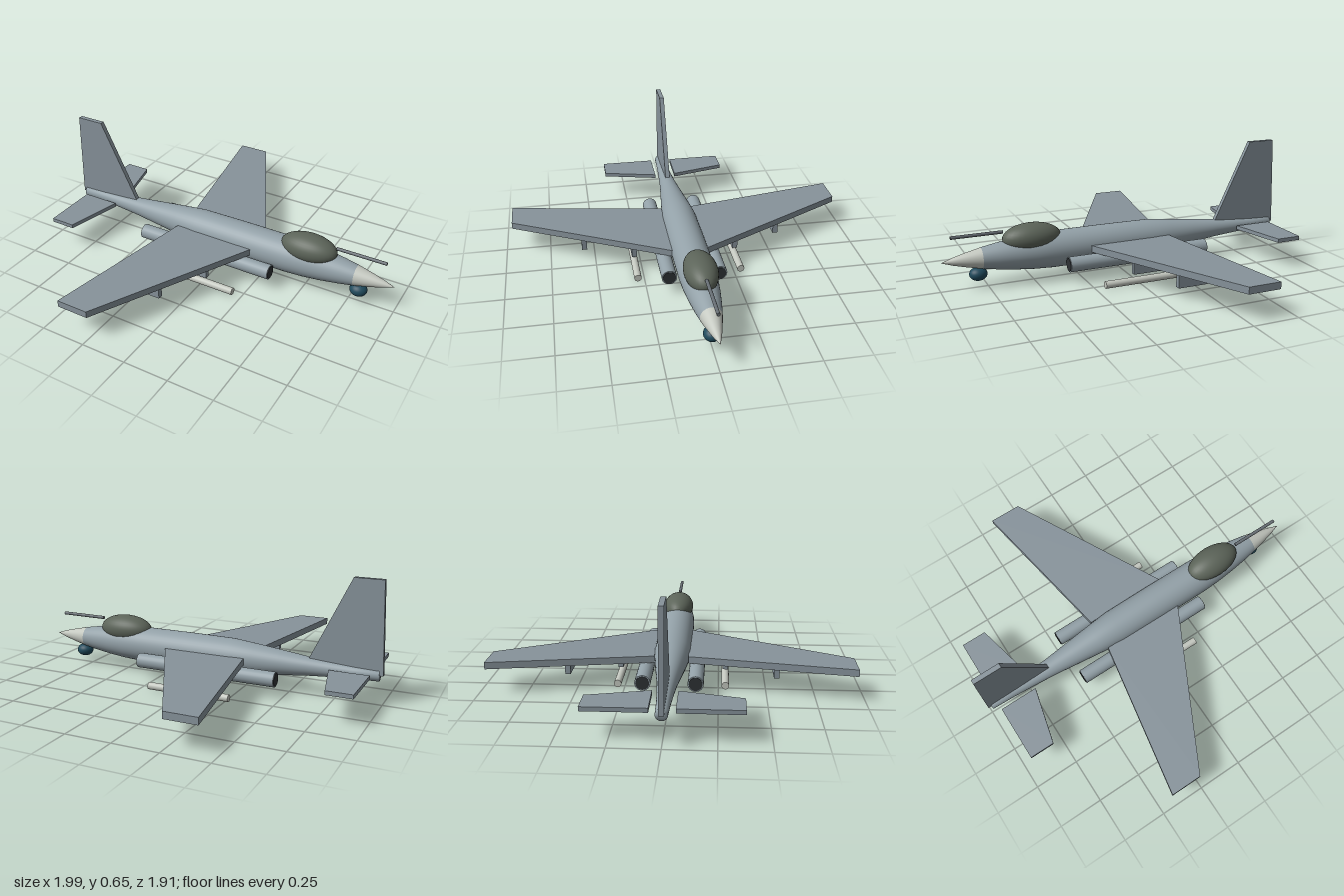
import * as THREE from 'three';

const paint = (color) => new THREE.MeshStandardMaterial({ color, side: THREE.DoubleSide });

export function createModel() {
  const model = new THREE.Group();
  const body = paint(0x93a1a8), panel = paint(0x87939b), glass = paint(0x5c6459);
  const pale = paint(0xc4c8c0), dark = paint(0x2e3235), steel = paint(0x666d73), teal = paint(0x1f4a5c);

  const add = (name, geometry, material, x = 0, y = 0, z = 0) => {
    const mesh = new THREE.Mesh(geometry, material);
    mesh.name = name;
    mesh.position.set(x, y, z);
    model.add(mesh);
    return mesh;
  };
  // Surface of revolution about the x axis from [x, radius] pairs
  const turned = (points) =>
    new THREE.LatheGeometry(points.map(([x, r]) => new THREE.Vector2(r, x)), 40).rotateZ(-Math.PI / 2);
  const rod = (length, radius) => new THREE.CylinderGeometry(radius, radius, length, 24).rotateZ(-Math.PI / 2);
  const plate = (points, depth) => new THREE.ExtrudeGeometry(
    new THREE.Shape(points.map(([x, y]) => new THREE.Vector2(x, y))), { depth, bevelEnabled: false });
  // Horizontal plate from [x, z] outline points, resting on y = 0
  const flatPlate = (points, side, thickness) =>
    plate(points.map(([x, z]) => [x, -z * side]), thickness).rotateX(-Math.PI / 2);
  const ellipsoid = (rx, ry, rz) => new THREE.SphereGeometry(1, 32, 20).scale(rx, ry, rz);

  // Fuselage and nose on one axis
  const axis = 0.158;
  add('fuselage', turned([[-0.98, 0], [-0.98, 0.03], [-0.85, 0.034], [-0.72, 0.042], [-0.6, 0.051], [-0.45, 0.068],
    [-0.3, 0.085], [-0.17, 0.098], [0.1, 0.1], [0.4, 0.099], [0.5, 0.094], [0.6, 0.084], [0.7, 0.07], [0.78, 0.056]]), body, 0, axis);
  add('noseCone', turned([[0.78, 0.056], [0.86, 0.038], [0.93, 0.02], [0.99, 0]]), pale, 0, axis);
  add('canopy', ellipsoid(0.16, 0.078, 0.088), glass, 0.505, 0.24);
  add('refuelProbe', rod(0.275, 0.009), steel, 0.798, 0.286);
  add('sensorBall', ellipsoid(0.048, 0.036, 0.043), teal, 0.8, 0.074);

  // Vertical fin
  add('tailFin', plate([[-1, 0.16], [-0.585, 0.16], [-0.825, 0.655], [-0.982, 0.655]], 0.026), panel, 0, 0, -0.013);

  for (const side of [1, -1]) {
    const label = side > 0 ? 'left' : 'right';

    // Lifting surfaces
    add(label + 'Wing', flatPlate([[0.205, 0.09], [-0.243, 0.957], [-0.42, 0.957], [-0.268, 0.09]], side, 0.037), panel, 0, 0.143);
    add(label + 'Tailplane', flatPlate([[-0.728, 0.062], [-0.803, 0.376], [-0.943, 0.376], [-0.943, 0.062]], side, 0.022), panel, 0, 0.15);

    // Engine nacelle with dark intake and exhaust faces
    add(label + 'Nacelle', rod(0.812, 0.041), body, -0.062, 0.104, side * 0.135);
    add(label + 'Intake', rod(0.006, 0.035), dark, 0.344, 0.104, side * 0.135);
    add(label + 'Exhaust', rod(0.006, 0.035), dark, -0.468, 0.104, side * 0.135);

    // Underwing stores
    for (const [name, x, z] of [['InnerPylon', -0.04, 0.287], ['OuterPylon', -0.163, 0.558]])
      add(label + name, new THREE.BoxGeometry(0.165, 0.068, 0.029), panel, x, 0.094, side * z);
    add(label + 'StoreTube', rod(0.47, 0.02), pale, -0.035, 0.021, side * 0.287);
  }
  return model;
}
